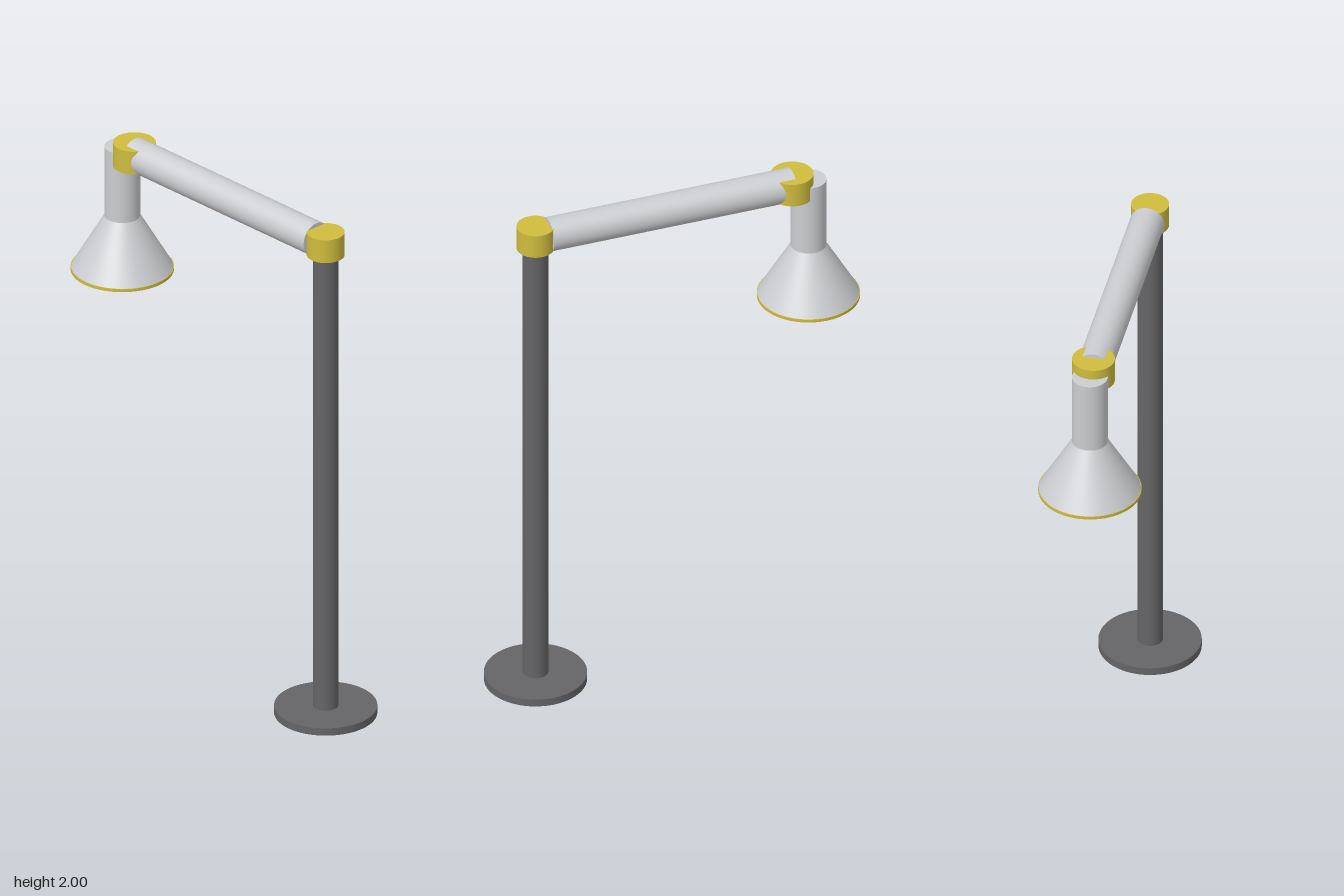
import * as THREE from 'three';

const FRONT = 0.537, LAMP = -0.535, ARM_Y = 1.937;

export function createModel() {
  const model = new THREE.Group();
  model.name = 'armLamp';

  const material = (name, color) => {
    const m = new THREE.MeshStandardMaterial({ color });
    m.name = name;
    return m;
  };
  const lightGrey = material('light grey', 0xcccdd0);
  const darkGrey = material('dark grey', 0x656567);
  const yellow = material('yellow', 0xd0bc3e);

  const add = (name, geometry, mat) => {
    const mesh = new THREE.Mesh(geometry, mat);
    mesh.name = name;
    model.add(mesh);
    return mesh;
  };
  // Upright round part between two heights
  const upright = (name, mat, z, y0, y1, rBottom, rTop = rBottom, open = false) =>
    add(name, new THREE.CylinderGeometry(rTop, rBottom, y1 - y0, 64, 1, open), mat)
      .position.set(0, (y0 + y1) / 2, z);

  // Stand
  upright('base', darkGrey, FRONT, 0, 0.03, 0.19);
  upright('pole', darkGrey, FRONT, 0.03, 1.9, 0.047);

  // Joints at both ends of the arm
  upright('poleJoint', yellow, FRONT, 1.89, 1.984, 0.07);
  upright('lampJoint', yellow, -0.471, 1.89, 1.984, 0.079);

  // Horizontal arm
  const arm = add('arm', new THREE.CylinderGeometry(0.064, 0.064, 0.955, 64), lightGrey);
  arm.rotation.x = Math.PI / 2;
  arm.position.set(0, ARM_Y - 0.001, 0.009);

  // Lamp head
  upright('lampNeck', lightGrey, LAMP, 1.655, 1.945, 0.066);
  upright('lampShade', lightGrey, LAMP, 1.449, 1.66, 0.188, 0.066, true);
  upright('lampGlass', lightGrey, LAMP, 1.44, 1.448, 0.173);

  // Yellow rim, a flat ring with square edges
  const outline = new THREE.Shape().absarc(0, 0, 0.19, 0, Math.PI * 2);
  outline.holes.push(new THREE.Path().absarc(0, 0, 0.172, 0, Math.PI * 2, true));
  const rim = add('shadeRim', new THREE.ExtrudeGeometry(outline, {
    depth: 0.012, bevelEnabled: false, curveSegments: 64,
  }), yellow);
  rim.rotation.x = -Math.PI / 2;
  rim.position.set(0, 1.438, LAMP);

  return model;
}
